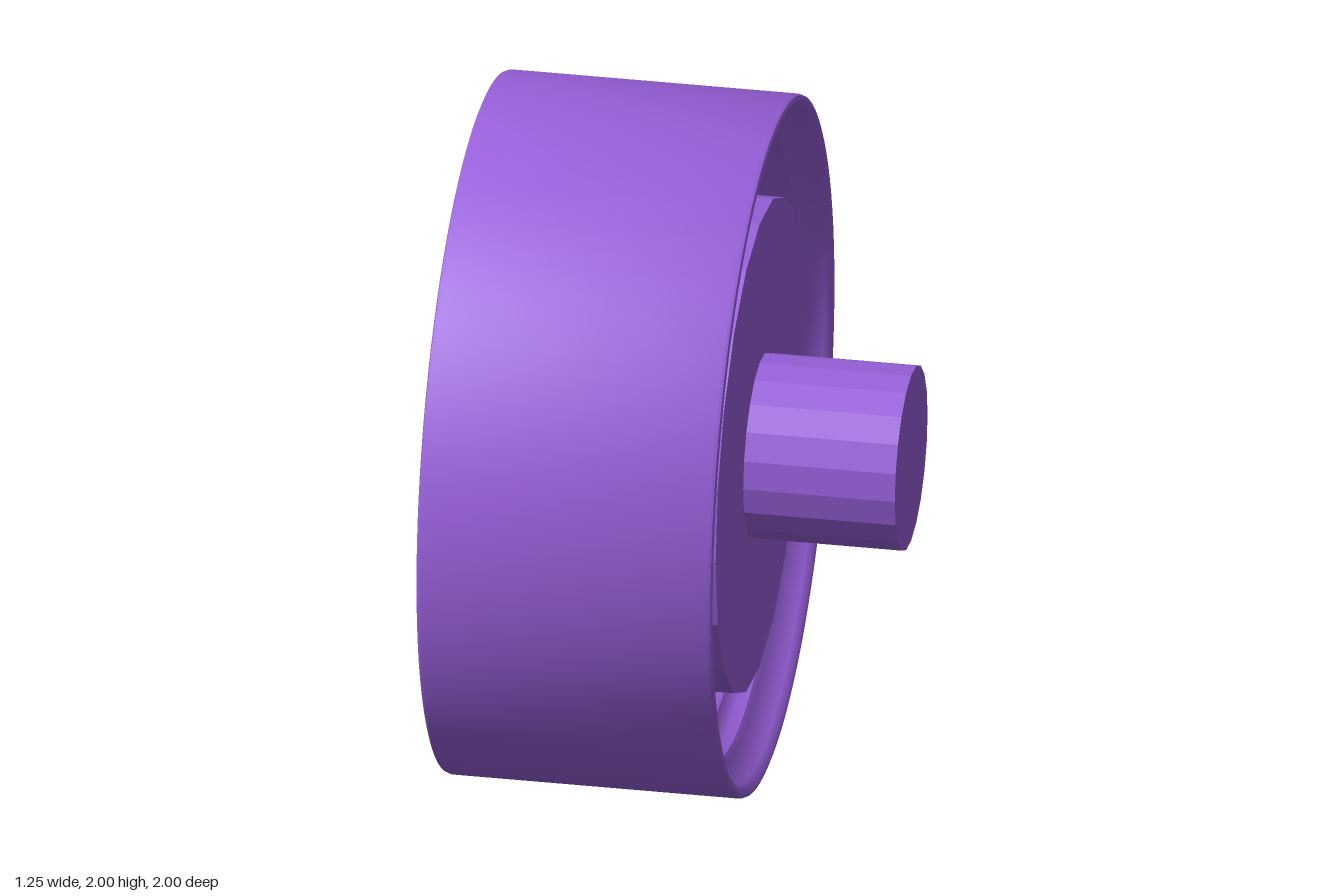
import * as THREE from 'three';
import { toCreasedNormals } from 'three/addons/utils/BufferGeometryUtils.js';

const smooth = new THREE.MeshStandardMaterial({ color: 0x9960dc });
const faceted = new THREE.MeshStandardMaterial({ color: 0x9960dc, flatShading: true });

// Solid of revolution about the x axis; points are [radius, x], outer side running towards +x.
function turned(name, points, segments, material = smooth) {
  const lathe = new THREE.LatheGeometry(points.map(([r, x]) => new THREE.Vector2(r, x)), segments);
  lathe.rotateZ(-Math.PI / 2);
  const mesh = new THREE.Mesh(material.flatShading ? lathe : toCreasedNormals(lathe, 0.6), material);
  mesh.name = name;
  return mesh;
}

// Spoke along +y, lofted through six-sided sections.
function spokeGeometry() {
  // radius, half widths (front, middle, back), x (front, middle, back)
  const sections = [
    [0.12, 0.04, 0.08, 0.08, -0.53, -0.50, -0.35],
    [0.24, 0.05, 0.11, 0.09, -0.535, -0.49, -0.35],
    [0.37, 0.05, 0.135, 0.09, -0.55, -0.48, -0.36],
    [0.70, 0.05, 0.095, 0.055, -0.58, -0.54, -0.42],
    [0.94, 0.045, 0.068, 0.045, -0.605, -0.58, -0.47],
  ];
  const positions = [], index = [];
  for (const [r, hf, hm, hb, xf, xm, xb] of sections) {
    for (const [x, z] of [[xf, -hf], [xf, hf], [xm, hm], [xb, hb], [xb, -hb], [xm, -hm]]) {
      positions.push(x, r, z);
    }
  }
  for (let k = 0; k < sections.length - 1; k++) {
    for (let i = 0; i < 6; i++) {
      const a = k * 6 + i, b = k * 6 + (i + 1) % 6;
      index.push(a, b, b + 6, a, b + 6, a + 6);
    }
  }
  const end = (sections.length - 1) * 6;
  for (let i = 1; i < 5; i++) {
    index.push(0, i + 1, i);
    index.push(end, end + i, end + i + 1);
  }
  const geometry = new THREE.BufferGeometry();
  geometry.setAttribute('position', new THREE.Float32BufferAttribute(positions, 3));
  geometry.setIndex(index);
  return toCreasedNormals(geometry, 0.4);
}

export function createModel() {
  const wheel = new THREE.Group();
  wheel.name = 'wheel';

  // Rim: straight tread, rounded lips, and a raised bead inside each edge
  const mid = -0.2;
  const halfInner = [
    [0.985, 0.425], [0.972, 0.418], [0.962, 0.40], [0.945, 0.365], [0.915, 0.345],
    [0.90, 0.33], [0.895, 0.30], [0.885, 0.28], [0.865, 0.265], [0.86, 0.25], [0.86, 0.22], [0.885, 0.16],
  ];
  const rimProfile = [
    [0.985, mid - 0.425], [0.996, mid - 0.421], [1, mid - 0.41],
    [1, mid + 0.41], [0.996, mid + 0.421],
    ...halfInner.map(([r, d]) => [r, mid + d]),
    ...halfInner.slice().reverse().map(([r, d]) => [r, mid - d]),
  ];
  const rim = turned('rim', rimProfile, 96);
  rim.position.y = 1;
  wheel.add(rim);

  // Drum and axle
  const drum = turned('drum', [[0, -0.2], [0.71, -0.2], [0.71, 0.185], [0, 0.185]], 20, faceted);
  const axle = turned('axle', [[0, -0.4], [0.265, -0.4], [0.265, 0.62], [0, 0.62]], 20, faceted);
  drum.position.y = axle.position.y = 1;
  wheel.add(drum, axle);

  // Hub with a round centre cap
  const hub = turned('hub', [
    [0, -0.53], [0.17, -0.53], [0.20, -0.50], [0.29, -0.495], [0.315, -0.475], [0.315, -0.35], [0, -0.35],
  ], 40);
  const cap = turned('centreCap', [[0, -0.555], [0.12, -0.555], [0.13, -0.545], [0.13, -0.5], [0, -0.5]], 32);
  hub.position.y = cap.position.y = 1;
  wheel.add(hub, cap);

  // Five spokes with a domed wheel nut between each pair
  const spokeShape = spokeGeometry();
  const nutProfile = [[0, -0.535], [0.025, -0.532], [0.043, -0.522], [0.052, -0.505], [0.052, -0.48], [0, -0.48]];
  for (let i = 0; i < 5; i++) {
    const arm = new THREE.Group();
    arm.name = 'spokeAndNut';
    arm.position.y = 1;
    arm.rotation.x = i * Math.PI * 2 / 5;
    const spoke = new THREE.Mesh(spokeShape, smooth);
    spoke.name = 'spoke';
    const nut = turned('wheelNut', nutProfile, 20);
    nut.position.set(0, 0.245 * Math.cos(Math.PI / 5), 0.245 * Math.sin(Math.PI / 5));
    arm.add(spoke, nut);
    wheel.add(arm);
  }
  return wheel;
}
